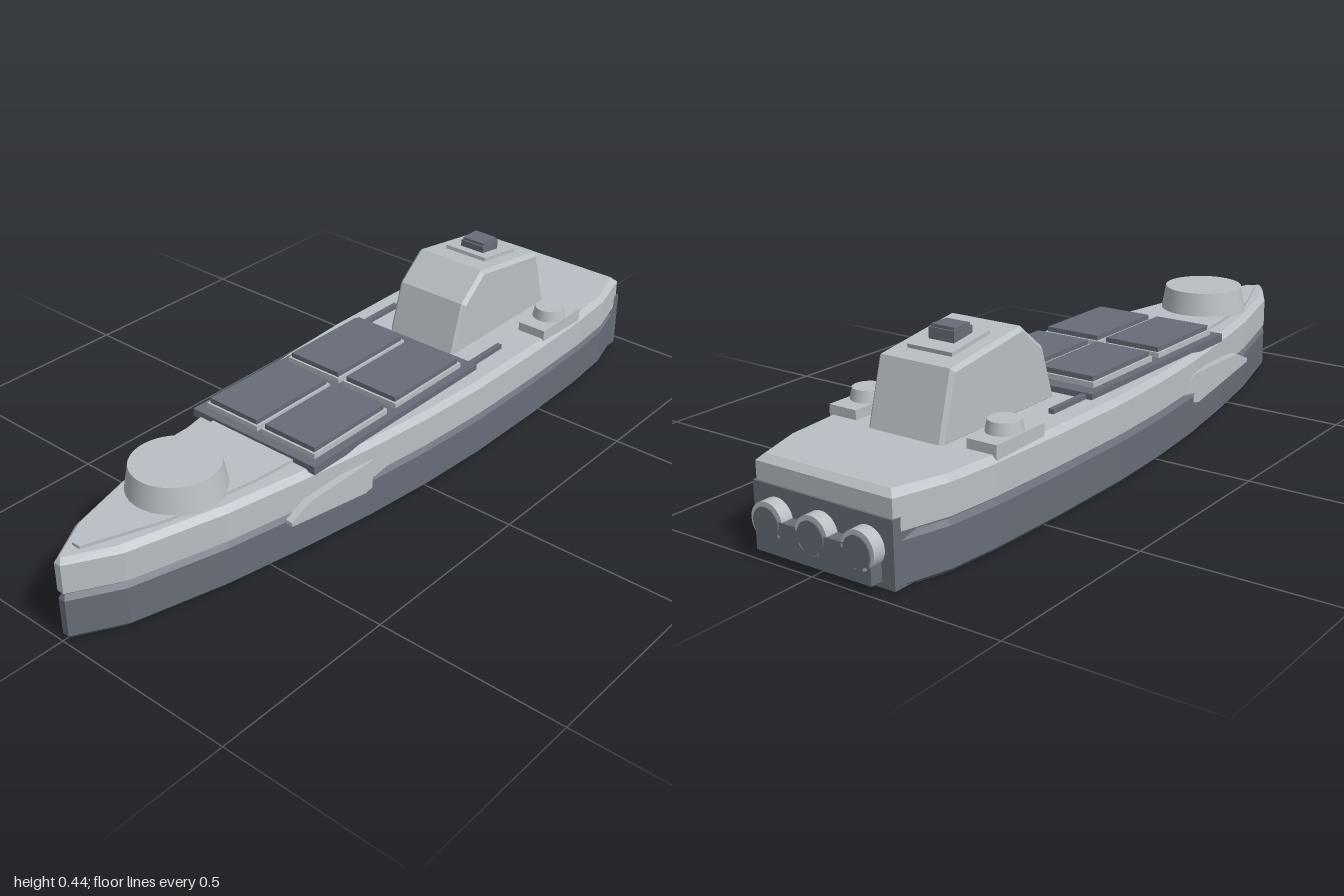
import * as THREE from 'three';

export function createModel() {
  const ship = new THREE.Group();
  ship.name = 'ship';
  const mat = (name, color, extra = {}) => {
    const m = new THREE.MeshStandardMaterial({ color, ...extra });
    m.name = name;
    return m;
  };
  const light = mat('lightGrey', 0xb9bfc5);
  const dark = mat('darkGrey', 0x686d78);

  const add = (name, geometry, material, x = 0, y = 0, z = 0) => {
    const mesh = new THREE.Mesh(geometry, material);
    mesh.name = name;
    mesh.position.set(x, y, z);
    ship.add(mesh);
    return mesh;
  };
  // box given by its limits
  const box = (name, material, x0, x1, y0, y1, z0, z1) => add(name,
    new THREE.BoxGeometry(x1 - x0, y1 - y0, z1 - z0), material,
    (x0 + x1) / 2, (y0 + y1) / 2, (z0 + z1) / 2);
  // side profile of [z, y] points, extruded across x
  const profile = (points, width, bevel = 0) => {
    const shape = new THREE.Shape(points.map(p => new THREE.Vector2(...p)));
    const g = new THREE.ExtrudeGeometry(shape, {
      depth: width - 2 * bevel, bevelEnabled: bevel > 0, bevelSize: bevel,
      bevelThickness: bevel, bevelOffset: -bevel, bevelSegments: 1,
    });
    g.translate(0, 0, -(width - 2 * bevel) / 2);
    return g.rotateY(-Math.PI / 2);
  };

  // hull outline: z and half width, bow to stern
  const outline = [[0.99, 0.01], [0.87, 0.08], [0.62, 0.148], [0.4, 0.19], [0.2, 0.222],
    [0, 0.243], [-0.2, 0.254], [-0.45, 0.254], [-0.68, 0.247], [-0.82, 0.234], [-0.957, 0.195]];
  const ring = (y, inset) => {
    const half = outline.map(([z, w]) => [Math.max(w - inset, 0.003),
      y, THREE.MathUtils.clamp(z, -0.957 + inset, 0.99 - inset * 0.6)]);
    return [...half, ...half.slice().reverse().map(([x, h, z]) => [-x, h, z])];
  };
  const loft = levels => {
    const rings = levels.map(l => ring(...l));
    const pos = [];
    const tri = (...pts) => pts.forEach(p => pos.push(...p));
    const n = rings[0].length;
    for (let k = 0; k < rings.length - 1; k++) {
      for (let i = 0; i < n; i++) {
        const j = (i + 1) % n, a = rings[k], b = rings[k + 1];
        tri(a[i], a[j], b[j]);
        tri(a[i], b[j], b[i]);
      }
    }
    const bottom = rings[0], top = rings[rings.length - 1];
    for (let i = 1; i < n - 1; i++) {
      tri(top[0], top[i], top[i + 1]);
      tri(bottom[0], bottom[i + 1], bottom[i]);
    }
    const g = new THREE.BufferGeometry();
    g.setAttribute('position', new THREE.Float32BufferAttribute(pos, 3));
    g.computeVertexNormals();
    return g;
  };
  add('lowerHull', loft([[0, 0.012], [0.012, 0], [0.11, 0], [0.122, 0.012]]), dark);
  add('upperHull', loft([[0.122, 0.012], [0.131, 0], [0.207, 0], [0.222, 0.015]]), light);

  // raised bow deck
  const bow = [[0.135, 0.37], [0.125, 0.5], [0.085, 0.74], [0.012, 0.935]];
  const bowShape = new THREE.Shape([...bow, ...bow.slice().reverse().map(([x, z]) => [-x, z])]
    .map(p => new THREE.Vector2(...p)));
  add('bowDeck', new THREE.ExtrudeGeometry(bowShape, { depth: 0.02, bevelEnabled: false })
    .rotateX(Math.PI / 2), light, 0, 0.23, 0);
  add('bowDrum', new THREE.CylinderGeometry(0.109, 0.122, 0.07, 40), light, 0, 0.259, 0.634);

  // cargo platform with four hatches
  box('cargoPlatform', dark, -0.203, 0.203, 0.215, 0.237, -0.25, 0.385);
  for (const s of [-1, 1]) {
    for (const zc of [-0.075, 0.225]) {
      const frame = new THREE.BoxGeometry(0.172, 0.014, 0.268);
      add('hatchFrame', frame, light, s * 0.094, 0.244, zc);
      add('hatchLid', new THREE.BoxGeometry(0.16, 0.016, 0.256), dark, s * 0.094, 0.256, zc);
    }
    box('deckRail', dark, s * 0.18 - 0.007, s * 0.18 + 0.007, 0.218, 0.234, -0.385, -0.25);
  }

  // cabin with sloped front and roof
  add('cabin', profile([[-0.27, 0.215], [-0.312, 0.355], [-0.395, 0.424],
    [-0.65, 0.386], [-0.698, 0.215]], 0.22, 0.01), light);
  const roofPlate = add('roofPlate', new THREE.BoxGeometry(0.13, 0.012, 0.14), light, 0, 0.408, -0.53);
  roofPlate.rotation.x = -0.148;
  box('mastBase', dark, -0.037, 0.037, 0.4, 0.438, -0.557, -0.49);
  box('mastTop', dark, -0.034, 0.034, 0.438, 0.445, -0.552, -0.495);

  for (const s of [-1, 1]) {
    // side turrets
    box('turretBase', light, s * 0.203 - 0.041, s * 0.203 + 0.041, 0.205, 0.246, -0.675, -0.5);
    add('turret', new THREE.CylinderGeometry(0.039, 0.045, 0.03, 28), light, s * 0.2, 0.26, -0.588);
    // side fins
    add('sideFin', profile([[0.49, 0.135], [0.49, 0.146], [0.43, 0.172], [0.2, 0.174],
      [0.14, 0.13], [0.2, 0.122], [0.2, 0.095], [0.225, 0.09]], 0.02), light, s * 0.216, 0, 0);
  }

  // stern block and thrusters
  box('sternBlock', dark, -0.2, 0.2, 0.005, 0.163, -0.963, -0.878);
  box('sternPlate', dark, -0.165, 0.165, 0.02, 0.1, -0.996, -0.96);
  for (const x of [-0.13, 0, 0.13]) {
    add('thruster', new THREE.CylinderGeometry(0.046, 0.046, 0.036, 28).rotateX(Math.PI / 2),
      light, x, 0.092, -0.978);
    add('thrusterFace', new THREE.CylinderGeometry(0.037, 0.037, 0.006, 28).rotateX(Math.PI / 2),
      dark, x, 0.09, -0.997);
  }
  return ship;
}
